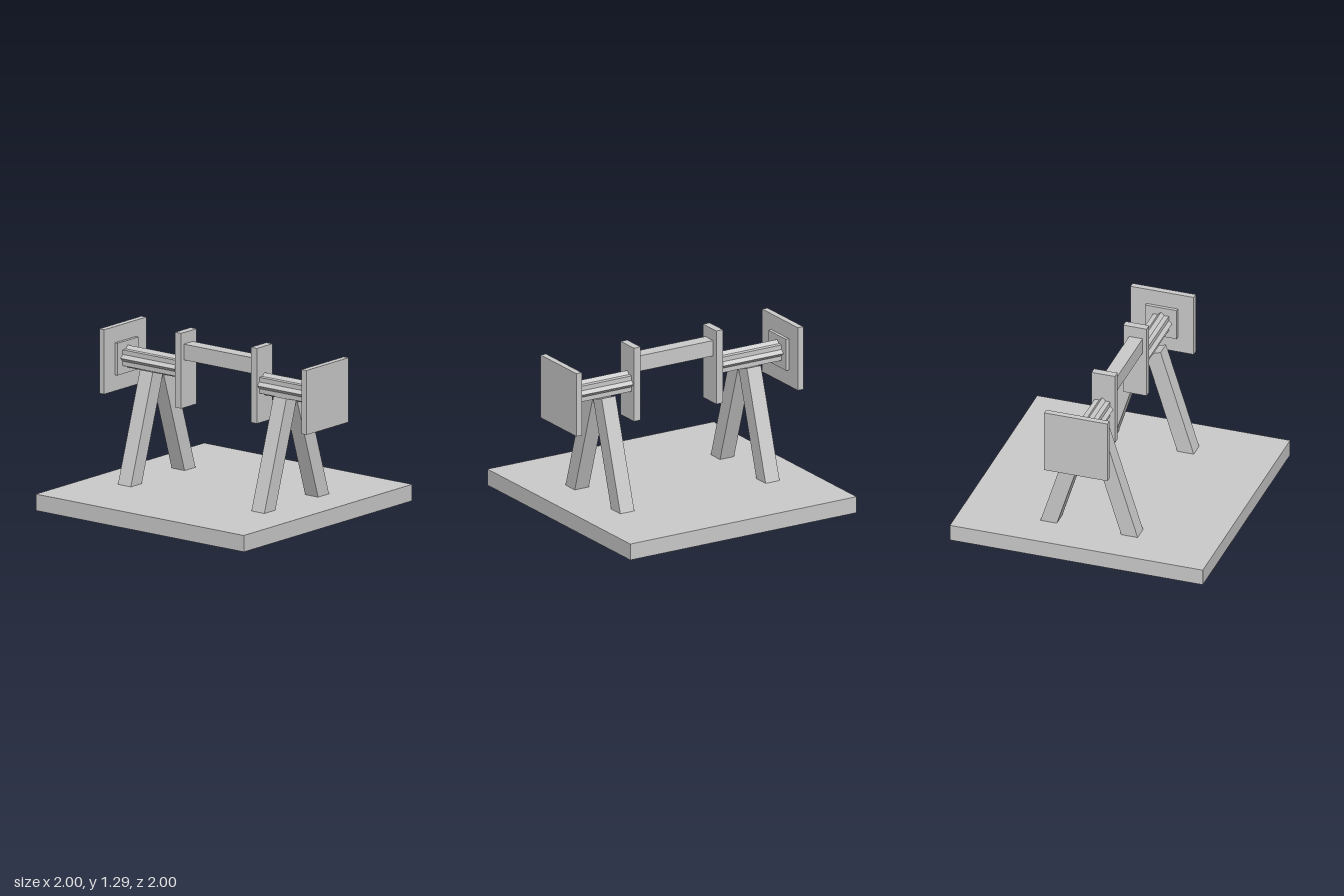
import * as THREE from 'three';

export function createModel() {
  const model = new THREE.Group();
  const material = new THREE.MeshStandardMaterial({ color: 0xcccccc, flatShading: true });
  const shaftY = 1.004;

  function add(name, geometry, x, y, z, parent = model) {
    const mesh = new THREE.Mesh(geometry, material);
    mesh.name = name;
    mesh.position.set(x, y, z);
    parent.add(mesh);
    return mesh;
  }
  const box = (name, w, h, d, x, y, z) => add(name, new THREE.BoxGeometry(w, h, d), x, y, z);

  // Ground slab and offset crank pin
  box('base', 2, 0.127, 2, 0, 0.0635, 0);
  box('crankPin', 0.108, 0.122, 0.68, -0.01, 1.144, 0);

  // Eight-pointed shaft section: two squares turned 45 degrees apart
  const star = new THREE.Shape();
  for (let i = 0; i < 16; i++) {
    const r = i % 2 ? 0.0666 : 0.087;
    const a = (i * Math.PI) / 8;
    star[i ? 'lineTo' : 'moveTo'](r * Math.cos(a), r * Math.sin(a));
  }
  const shaftGeometry = new THREE.ExtrudeGeometry(star, { depth: 0.56, bevelEnabled: false });
  shaftGeometry.translate(0, 0, -0.28);

  for (const [end, s] of [['front', 1], ['back', -1]]) {
    const x = -0.004 * s;

    // Shaft, crank web and end plates
    add(end + 'Shaft', shaftGeometry, x, shaftY, 0.66 * s);
    box(end + 'CrankWeb', 0.185, 0.58, 0.058, -0.003, 1.004, 0.364 * s);
    box(end + 'Hub', 0.248, 0.248, 0.03, x, shaftY, 0.942 * s);
    box(end + 'EndPlate', 0.5, 0.497, 0.047, x, shaftY, 0.9765 * s);

    // Splayed A-frame legs, their feet sunk into the base
    const legZ = s > 0 ? 0.637 : -0.647;
    const top = new THREE.Vector2(0.063, 0.942);
    const foot = new THREE.Vector2(0.338, 0.067);
    const length = top.distanceTo(foot);
    const tilt = Math.atan2(foot.x - top.x, top.y - foot.y);
    for (const [side, m] of [['Left', 1], ['Right', -1]]) {
      const leg = box(end + side + 'Leg', 0.124, length, 0.124,
        (m * (top.x + foot.x)) / 2, (top.y + foot.y) / 2, legZ);
      leg.rotation.z = m * tilt;
    }
  }
  return model;
}
